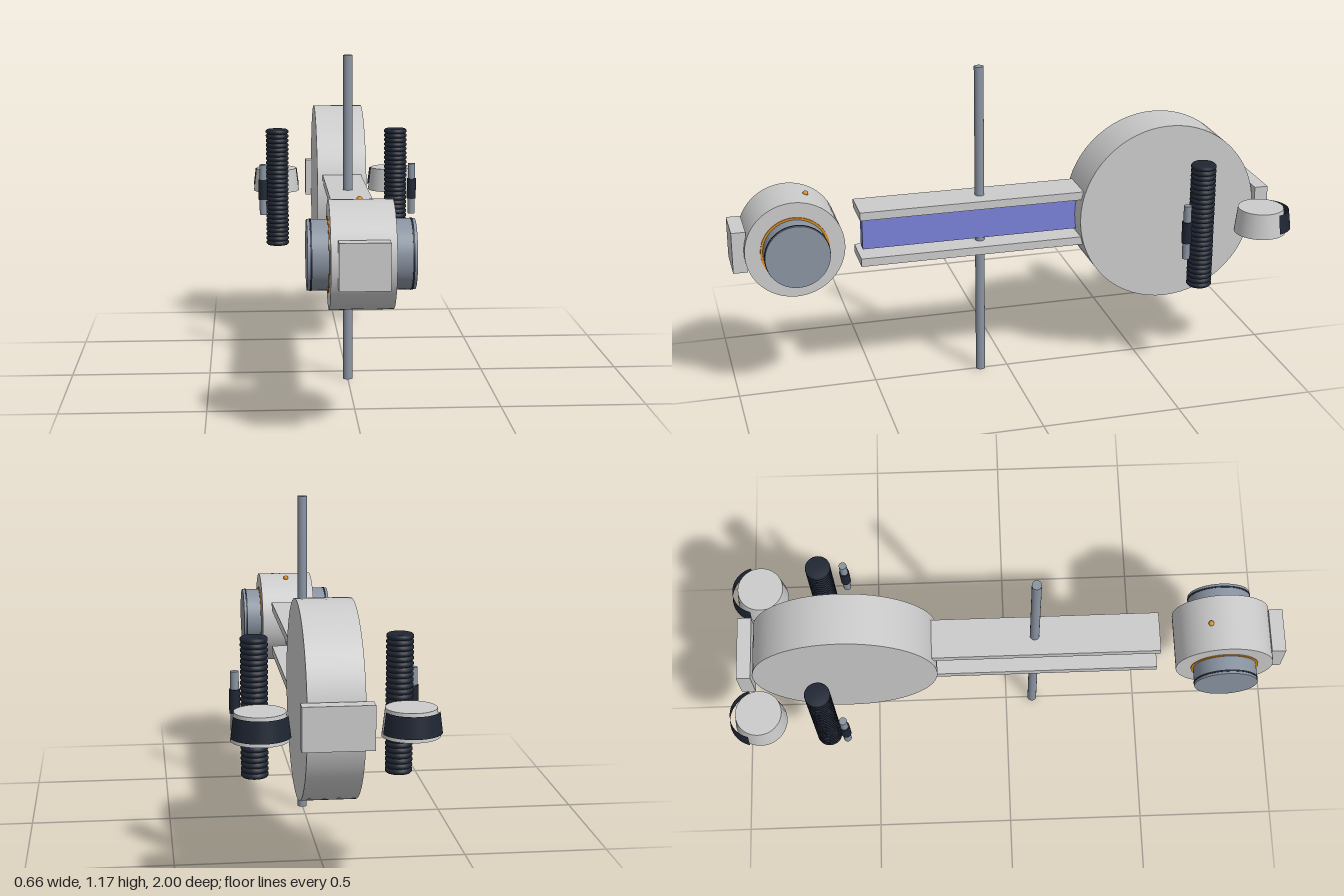
import * as THREE from 'three';

const mat = (color) => new THREE.MeshStandardMaterial({ color });
const grey = mat(0xcccccc);
const steel = mat(0x8a94a2);
const dark = mat(0x1f2633);
const blue = mat(0x7a82d8);
const orange = mat(0xd98a20);
const darkShell = mat(0x1f2633);
darkShell.side = THREE.DoubleSide;

const MID = 0.59; // height of the main axis

export function createModel() {
  const model = new THREE.Group();
  model.name = 'model';

  const add = (name, geometry, material, x, y, z) => {
    const mesh = new THREE.Mesh(geometry, material);
    mesh.name = name;
    mesh.position.set(x, y, z);
    model.add(mesh);
    return mesh;
  };
  const box = (name, material, w, h, d, x, y, z) =>
    add(name, new THREE.BoxGeometry(w, h, d), material, x, y, z);
  const post = (name, material, r, h, x, y, z) =>
    add(name, new THREE.CylinderGeometry(r, r, h, 32), material, x, y, z);
  // cylinder lying along x
  const drum = (name, material, r, length, x, y, z) => {
    const geometry = new THREE.CylinderGeometry(r, r, length, 64).rotateZ(Math.PI / 2);
    return add(name, geometry, material, x, y, z);
  };

  // rear disc and its back plate
  drum('rearDisc', grey, 0.332, 0.185, 0, MID, -0.583);
  box('rearPlate', grey, 0.23, 0.145, 0.05, 0, MID, -0.94);

  // beam: two rails with a thin web between them
  for (const s of [1, -1]) {
    box(s > 0 ? 'upperRail' : 'lowerRail', grey, 0.145, 0.03, 0.82, 0, MID + s * 0.087, 0.14);
  }
  box('web', blue, 0.04, 0.115, 0.8, 0, MID, 0.135);

  // tall mast through the beam
  post('mast', steel, 0.017, 1.17, 0, 0.585, 0.102);

  // front pod with a plate and an indicator
  drum('frontPod', grey, 0.175, 0.205, 0, MID, 0.785);
  box('frontPlate', grey, 0.16, 0.15, 0.05, 0, MID, 0.975);
  add('indicator', new THREE.SphereGeometry(0.01, 16, 12), orange, 0, 0.757, 0.727);

  // ridged profile of the side columns
  const ridges = 26, bottom = -0.233, pitch = 0.466 / ridges;
  const profile = [new THREE.Vector2(0, bottom)];
  for (let i = 0; i < ridges; i++) {
    const y = bottom + i * pitch;
    profile.push(
      new THREE.Vector2(0.04, y),
      new THREE.Vector2(0.045, y + pitch * 0.3),
      new THREE.Vector2(0.045, y + pitch * 0.7),
      new THREE.Vector2(0.04, y + pitch)
    );
  }
  profile.push(new THREE.Vector2(0, -bottom));

  // mirrored parts
  for (const s of [1, -1]) {
    const side = s > 0 ? 'left' : 'right';

    // pod barrel with its coloured collar and dark seal
    drum(side + 'Barrel', steel, 0.113, 0.075, s * 0.134, MID, 0.785);
    drum(side + 'Collar', orange, 0.121, 0.006, s * 0.103, MID, 0.785);
    drum(side + 'Seal', dark, 0.1145, 0.006, s * 0.16, MID, 0.785);

    add(side + 'Column', new THREE.LatheGeometry(profile, 32), dark, s * 0.237, 0.588, -0.66);

    // small pin with a grip
    post(side + 'Pin', steel, 0.014, 0.2, s * 0.295, MID, -0.583);
    post(side + 'Grip', dark, 0.018, 0.08, s * 0.295, MID, -0.583);

    // flared cup with a dark band around its back
    const cup = new THREE.CylinderGeometry(0.082, 0.093, 0.092, 48);
    add(side + 'Cup', cup, grey, s * 0.237, 0.588, -0.888);
    const band = new THREE.CylinderGeometry(0.088, 0.097, 0.07, 48, 1, true, Math.PI * 0.58, Math.PI * 0.84);
    add(side + 'CupBand', band, darkShell, s * 0.237, 0.593, -0.902);
  }

  return model;
}
